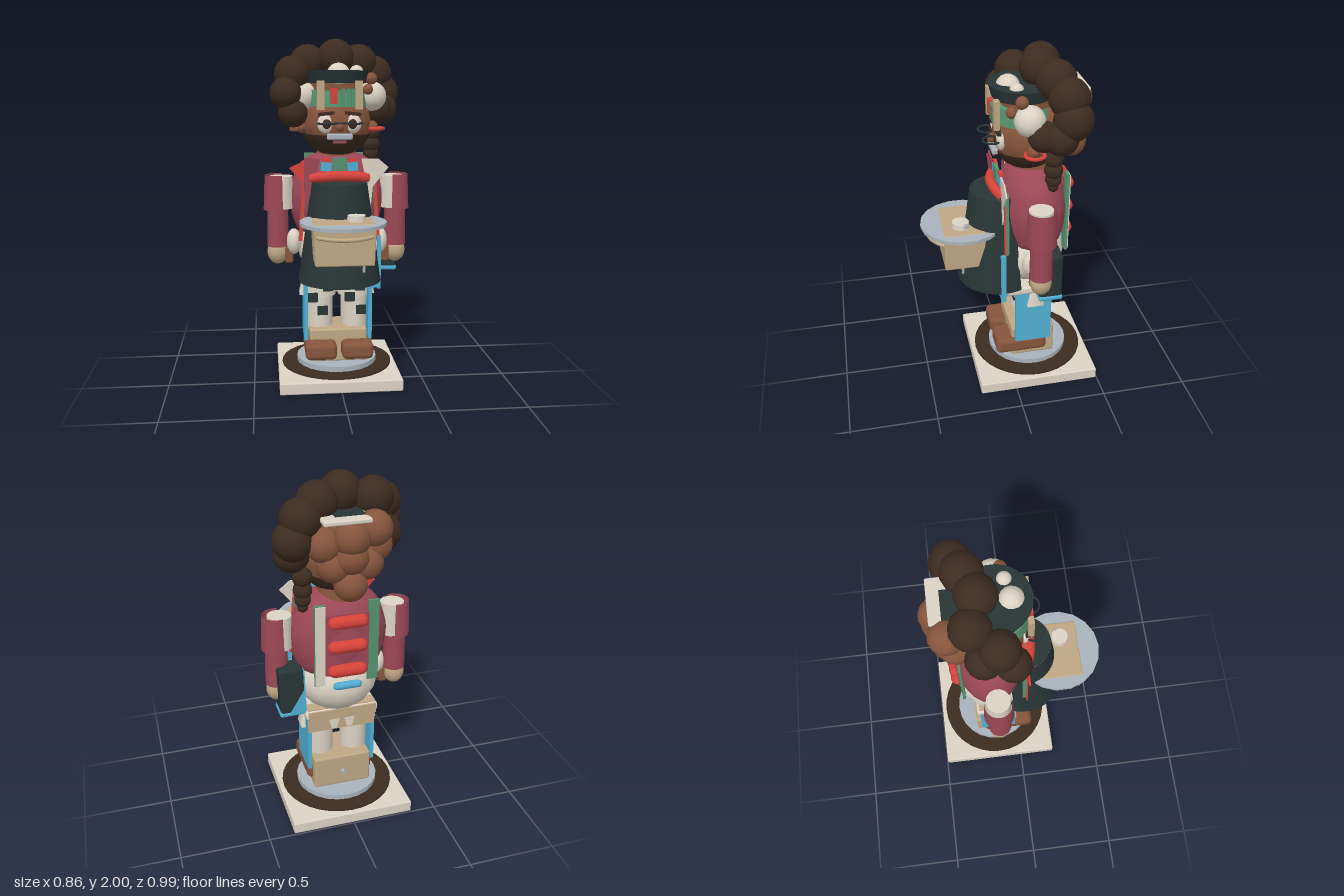
import * as THREE from 'three';
import { RoundedBoxGeometry } from 'three/addons/geometries/RoundedBoxGeometry.js';

const mat = (name, color, side = THREE.FrontSide) => {
  const m = new THREE.MeshStandardMaterial({ color, side });
  m.name = name;
  return m;
};

export function createModel() {
  const root = new THREE.Group();
  root.name = 'figurine';
  const hair = mat('dark hair brown', 0x3c2c21);
  const brown = mat('warm brown', 0x86553c);
  const tan = mat('tan', 0xbea784);
  const cream = mat('cream', 0xdbd2c4);
  const steel = mat('steel', 0xa9b2bb);
  const black = mat('charcoal', 0x293536, THREE.DoubleSide);
  const blue = mat('sky blue', 0x50b0d4, THREE.DoubleSide);
  const red = mat('red', 0xd8443a, THREE.DoubleSide);
  const green = mat('green', 0x56926f, THREE.DoubleSide);
  const crimson = mat('crimson', 0x9c4857, THREE.DoubleSide);

  // Helpers
  const add = (name, geo, m, x = 0, y = 0, z = 0, rx = 0, ry = 0, rz = 0) => {
    const mesh = new THREE.Mesh(geo, m);
    mesh.name = name;
    mesh.position.set(x, y, z);
    mesh.rotation.set(rx, ry, rz);
    root.add(mesh);
    return mesh;
  };
  const box = (name, m, w, h, d, x, y, z, rx, ry, rz) =>
    add(name, new THREE.BoxGeometry(w, h, d), m, x, y, z, rx, ry, rz);
  const round = (name, m, w, h, d, r, x, y, z, rx, ry, rz) =>
    add(name, new RoundedBoxGeometry(w, h, d, 2, r), m, x, y, z, rx, ry, rz);
  const cyl = (name, m, rt, rb, h, x, y, z, n = 20, rx, ry, rz) =>
    add(name, new THREE.CylinderGeometry(rt, rb, h, n), m, x, y, z, rx, ry, rz);
  const ball = (name, m, r, x, y, z, sx = 1, sy = 1, sz = 1) => {
    const b = add(name, new THREE.SphereGeometry(r, 14, 10), m, x, y, z);
    b.scale.set(sx, sy, sz);
    return b;
  };
  const plate = (name, m, pts, z, depth = 0.008) => {
    const s = new THREE.Shape(pts.map(p => new THREE.Vector2(p[0], p[1])));
    return add(name, new THREE.ExtrudeGeometry(s, { depth, bevelEnabled: false }), m, 0, 0, z);
  };
  const bar = (name, m, r, len, x, y, z) =>
    add(name, new THREE.CapsuleGeometry(r, len, 4, 8), m, x, y, z, 0, 0, Math.PI / 2);
  // Tube bowed toward the front: half width, end z, control z
  const bow = (name, m, r, w, y, z, cz, lift = 0) => add(name, new THREE.TubeGeometry(new THREE.QuadraticBezierCurve3(
    new THREE.Vector3(-w, y, z), new THREE.Vector3(0, y + lift, cz), new THREE.Vector3(w, y, z)), 14, r, 8), m);
  const sides = [-1, 1];

  // Stand
  round('base', cream, 0.71, 0.07, 0.71, 0.008, 0, 0.035, -0.14);
  cyl('rug', hair, 0.33, 0.33, 0.01, 0, 0.077, -0.14, 32);
  cyl('turntable', steel, 0.24, 0.24, 0.03, 0, 0.1, -0.14, 24);
  round('pedestal', tan, 0.34, 0.2, 0.26, 0.012, 0, 0.212, -0.137);
  cyl('pedestalKnob', steel, 0.013, 0.013, 0.03, 0, 0.21, -0.28, 10, Math.PI / 2);

  // Shoes, legs and shorts
  for (const s of sides) {
    round('shoe', brown, 0.185, 0.1, 0.31, 0.03, s * 0.107, 0.2, -0.065);
    cyl('leg', cream, 0.08, 0.078, 0.32, s * 0.103, 0.45, -0.13, 16);
    box('sidePanel', blue, 0.022, 0.37, 0.215, s * 0.19, 0.425, -0.13);
    add('shortsTab', new THREE.CylinderGeometry(0.045, 0.07, 0.085, 4), cream, s * 0.175, 0.545, -0.14, 0, Math.PI / 4);
    cyl('shortsLeg', cream, 0.09, 0.095, 0.12, s * 0.1, 0.56, -0.13, 14);
    plate('shortsBackFlap', cream, [[s * 0.01, 0.58], [s * 0.08, 0.58], [s * 0.06, 0.505], [s * 0.03, 0.505]], -0.247);
  }
  for (const [x, y] of [[-0.15, 0.5], [-0.09, 0.415], [-0.06, 0.565], [0.07, 0.5], [0.14, 0.415], [0.13, 0.565]])
    box('legPatch', black, 0.06, 0.055, 0.012, x, y, y > 0.48 ? -0.037 : -0.052);
  box('shortsBack', tan, 0.4, 0.15, 0.07, 0, 0.57, -0.205);
  round('belt', cream, 0.43, 0.055, 0.29, 0.02, 0, 0.612, -0.115);
  box('beltBack', tan, 0.4, 0.06, 0.01, 0, 0.61, -0.26);

  // Body
  ball('belly', cream, 0.22, 0, 0.79, -0.135, 1.05, 0.85, 0.96);
  const profile = [[0.0, 0.88], [0.2, 0.88], [0.255, 0.96], [0.275, 1.06], [0.27, 1.15], [0.225, 1.27], [0.14, 1.34], [0, 1.36]];
  const torso = add('torso', new THREE.LatheGeometry(new THREE.SplineCurve(profile.map(p => new THREE.Vector2(...p))).getPoints(24), 20), crimson, 0, 0, -0.15);
  torso.scale.z = 0.71;

  // Arms, each sleeve an outer shell around a pale upper arm
  for (const s of sides) {
    cyl('upperArm', cream, 0.068, 0.07, 0.19, s * 0.325, 1.12, -0.13, 14);
    const shell = Math.PI * 1.2;
    add('sleeve', new THREE.CylinderGeometry(0.077, 0.085, 0.205, 14, 1, true, s * Math.PI / 2 - shell / 2, shell), crimson, s * 0.345, 1.12, -0.13);
    cyl('forearm', crimson, 0.062, 0.066, 0.22, s * 0.348, 0.91, -0.13, 14);
    ball('hand', tan, 0.062, s * 0.35, 0.765, -0.13, 1, 1.2, 1);
    round('wristBand', brown, 0.05, 0.1, 0.06, 0.015, s * 0.285, 0.75, -0.11);
    ball('hipPad', cream, 0.055, s * 0.255, 0.83, -0.1, 0.8, 1.4, 1);
  }

  // Apron, wrapped a little past the sides
  const wrap = Math.PI * 1.27;
  add('apron', new THREE.CylinderGeometry(0.157, 0.237, 0.57, 28, 1, true, -wrap / 2, wrap), black, 0, 0.915, 0.045);
  add('apronTop', new THREE.CircleGeometry(0.157, 28), black, 0, 1.2, 0.045, -Math.PI / 2);
  bow('neckRoll', red, 0.03, 0.16, 1.22, 0.04, 0.12, 0.03);

  // Collar and straps
  box('tie', green, 0.08, 0.09, 0.02, 0, 1.29, 0.05);
  for (const s of sides) {
    box('collarTab', blue, 0.06, 0.05, 0.02, s * 0.075, 1.285, 0.043, 0, 0, s * 0.1);
    box('collarRedTab', red, 0.05, 0.025, 0.02, s * 0.075, 1.32, 0.04);
    plate('frontStrap', red, [[s * 0.19, 1.28], [s * 0.203, 1.28], [s * 0.235, 0.86], [s * 0.213, 0.86]], 0.04);
    box('strapEdge', green, 0.012, 0.38, 0.02, s * 0.205, 1.07, 0.03, 0, 0, s * 0.06);
  }
  plate('rightLapel', crimson, [[-0.2, 1.34], [-0.11, 1.33], [-0.14, 1.18], [-0.2, 1.05]], 0.05);
  plate('rightLapelPoint', red, [[-0.2, 1.32], [-0.285, 1.28], [-0.2, 1.19]], 0.045);
  plate('leftLapel', cream, [[0.125, 1.33], [0.22, 1.33], [0.28, 1.28], [0.19, 1.17], [0.18, 1.06], [0.15, 1.2]], 0.045);
  box('blueSash', blue, 0.02, 0.31, 0.03, 0.228, 0.73, 0.055);
  box('sashBuckle', blue, 0.075, 0.05, 0.03, 0.197, 0.605, 0.055);

  // Tray and drawer box
  cyl('tray', steel, 0.24, 0.24, 0.02, 0, 1, 0.25, 18);
  const drawer = new RoundedBoxGeometry(0.34, 0.23, 0.235, 2, 0.01);
  const p = drawer.attributes.position;
  for (let i = 0; i < p.count; i++) if (p.getY(i) < 0) p.setX(i, p.getX(i) * 0.95);
  add('drawerBox', drawer, tan, 0, 0.898, 0.258);
  bow('drawerHandle', tan, 0.011, 0.15, 0.942, 0.37, 0.53);
  cyl('cup', cream, 0.048, 0.052, 0.035, 0.07, 1.027, 0.27, 14);
  ball('cupBead', steel, 0.013, 0.112, 1.035, 0.25);
  cyl('apronRod', steel, 0.008, 0.008, 0.07, 0.115, 0.76, 0.27, 8);

  // Satchel on the left hip
  round('satchel', black, 0.14, 0.29, 0.13, 0.015, 0.29, 0.785, -0.19, 0, 0, -0.04);
  round('satchelBottom', blue, 0.148, 0.03, 0.138, 0.012, 0.288, 0.652, -0.19, 0, 0, -0.04);
  box('satchelSide', blue, 0.008, 0.26, 0.11, 0.217, 0.785, -0.19, 0, 0, -0.04);
  plate('satchelCorner', blue, [[0.22, 0.65], [0.31, 0.65], [0.222, 0.8]], -0.262);

  // Back rolls and straps
  for (const y of [1.23, 1.085, 0.94]) bar('backRoll', red, 0.037, 0.15, 0, y, -0.343);
  bar('lowerBackRoll', blue, 0.022, 0.12, 0, 0.845, -0.345);
  box('backPanel', crimson, 0.24, 0.36, 0.02, 0, 1.09, -0.325);
  for (const s of sides) box('backStrap', green, 0.06, 0.48, 0.016, s * 0.15, 1.09, -0.317);
  box('backStrapFace', cream, 0.055, 0.47, 0.006, 0.15, 1.09, -0.328);

  // Head and beard
  ball('head', brown, 0.2, 0, 1.53, -0.125, 1, 0.98, 0.98);
  const beard = add('beard', new THREE.SphereGeometry(0.206, 22, 10, 0, Math.PI * 2, Math.PI * 0.61, Math.PI * 0.39), hair, 0, 1.53, -0.12);
  beard.scale.set(1.02, 0.97, 1);
  cyl('neck', brown, 0.11, 0.12, 0.06, 0, 1.345, -0.16);
  for (const s of sides) {
    ball('eye', cream, 0.05, s * 0.075, 1.525, 0.04, 1, 1.1, 0.6);
    ball('iris', hair, 0.025, s * 0.073, 1.525, 0.064, 1, 1.1, 0.5);
    box('brow', hair, 0.09, 0.018, 0.025, s * 0.075, 1.582, 0.055, 0, 0, -s * 0.12);
    add('spectacleRing', new THREE.TorusGeometry(0.05, 0.006, 6, 18), black, s * 0.075, 1.53, 0.088, Math.PI / 2);
    ball('ear', brown, 0.035, s * 0.205, 1.5, -0.11);
  }
  box('spectacleBridge', black, 0.05, 0.009, 0.009, 0, 1.53, 0.09);
  ball('nose', brown, 0.027, 0, 1.51, 0.075);
  round('moustache', steel, 0.145, 0.035, 0.035, 0.01, 0, 1.455, 0.068);
  box('mouth', crimson, 0.075, 0.014, 0.012, 0, 1.426, 0.07);
  add('earring', new THREE.TorusGeometry(0.052, 0.011, 8, 16), red, 0.22, 1.488, -0.115, Math.PI / 2);
  round('rightEarStud', brown, 0.05, 0.025, 0.05, 0.008, -0.25, 1.49, -0.08);

  // Headband, books and visor
  cyl('greenBand', green, 0.165, 0.175, 0.09, 0, 1.665, -0.095, 20);
  cyl('hatCore', brown, 0.15, 0.15, 0.1, 0, 1.73, -0.12, 16);
  cyl('visor', black, 0.187, 0.168, 0.07, 0, 1.785, -0.095, 22);
  for (const s of sides) {
    box('bandPost', tan, 0.042, 0.16, 0.03, s * 0.107, 1.685, 0.068);
    ball('sidePuff', cream, 0.085, s * 0.2, 1.675, -0.09);
  }
  box('redBook', red, 0.038, 0.085, 0.03, -0.034, 1.68, 0.072);
  for (const x of [0.018, 0.05, 0.075]) box('greenBook', green, 0.022, 0.09, 0.03, x, 1.675, 0.07);
  ball('visorPuff', cream, 0.068, 0, 1.795, -0.015);
  ball('visorPuff', cream, 0.04, 0.105, 1.81, -0.04);
  ball('berry', brown, 0.035, 0.19, 1.775, -0.05);
  ball('berry', brown, 0.03, 0.165, 1.715, 0.0);
  round('hatPlate', cream, 0.25, 0.025, 0.28, 0.008, 0.03, 1.805, -0.285);
  box('hatPlateInset', black, 0.16, 0.012, 0.14, 0, 1.817, -0.29);

  // Hair arch, sweeping back toward the left: x, y, z, radius
  for (const [x, y, z, r] of [
    [-0.255, 1.585, -0.05, 0.085], [-0.295, 1.695, -0.04, 0.092], [-0.255, 1.8, -0.1, 0.105], [-0.16, 1.865, -0.23, 0.108],
    [0, 1.892, -0.185, 0.11], [0.14, 1.865, -0.24, 0.11], [0.235, 1.8, -0.285, 0.11], [0.28, 1.695, -0.3, 0.108],
    [0.275, 1.6, -0.24, 0.095], [0.24, 1.6, -0.155, 0.085], [-0.24, 1.65, -0.18, 0.1]])
    ball('hairPuff', hair, r, x, y, z);
  [[1.46, 0.055], [1.39, 0.052], [1.335, 0.045], [1.29, 0.03]].forEach(([y, r]) => ball('braidBead', hair, r, 0.215, y, -0.22));

  // Brown bun cluster at the back
  for (const [x, y, z, r] of [[0, 1.455, -0.37, 0.09], [0.08, 1.56, -0.34, 0.095], [-0.09, 1.56, -0.34, 0.095], [0, 1.61, -0.385, 0.09],
    [0.13, 1.67, -0.33, 0.095], [-0.13, 1.74, -0.35, 0.095], [0, 1.71, -0.385, 0.095], [-0.15, 1.64, -0.31, 0.09]])
    ball('bunPuff', brown, r, x, y, z);
  ball('bunCore', brown, 0.16, 0, 1.61, -0.26);
  return root;
}
